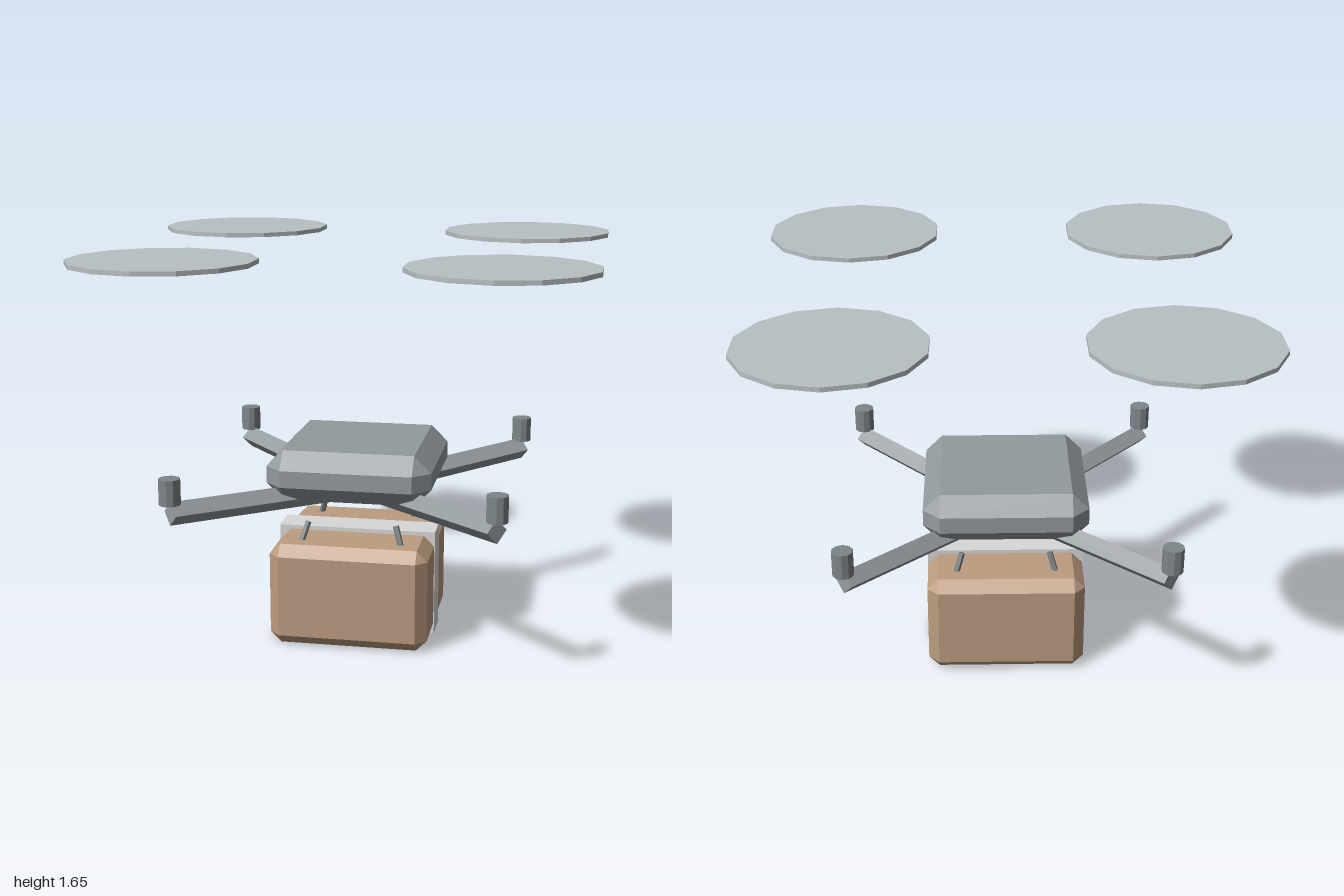
import * as THREE from 'three';
import { ConvexGeometry } from 'three/addons/geometries/ConvexGeometry.js';

const mat = (name, color) => {
  const m = new THREE.MeshStandardMaterial({ color, flatShading: true });
  m.name = name;
  return m;
};

// Box with every edge cut by the same bevel c
function bevelBox(w, h, d, c) {
  const pts = [];
  const [x, y, z] = [w / 2, h / 2, d / 2];
  for (const sx of [-1, 1]) for (const sy of [-1, 1]) for (const sz of [-1, 1]) {
    pts.push(
      new THREE.Vector3(sx * x, sy * (y - c), sz * (z - c)),
      new THREE.Vector3(sx * (x - c), sy * y, sz * (z - c)),
      new THREE.Vector3(sx * (x - c), sy * (y - c), sz * z),
    );
  }
  return new ConvexGeometry(pts);
}

export function createModel() {
  const group = new THREE.Group();
  group.name = 'deliveryDrone';
  const grey = mat('shellGrey', 0x939a9e);
  const darkGrey = mat('motorGrey', 0x7e868a);
  const paleGrey = mat('rotorGrey', 0xb9c0c3);
  const cardboard = mat('cardboard', 0xbd9c80);
  const strapWhite = mat('strapWhite', 0xd8d8d8);

  const add = (name, geometry, material, x = 0, y = 0, z = 0) => {
    const mesh = new THREE.Mesh(geometry, material);
    mesh.name = name;
    mesh.position.set(x, y, z);
    group.add(mesh);
    return mesh;
  };

  // Straight bar between two points
  const bar = (name, a, b, radius, sides, material) => {
    const dir = b.clone().sub(a);
    const mesh = add(name, new THREE.CylinderGeometry(radius, radius, dir.length(), sides), material);
    // Aim the bar's y axis along dir while keeping one corner edge on top
    const yAxis = dir.normalize();
    const xAxis = new THREE.Vector3(0, 1, 0).cross(yAxis).normalize();
    const zAxis = xAxis.clone().cross(yAxis);
    mesh.quaternion.setFromRotationMatrix(new THREE.Matrix4().makeBasis(xAxis, yAxis, zAxis));
    mesh.position.copy(a).add(b).multiplyScalar(0.5);
  };

  // Body and cargo
  add('body', bevelBox(0.68, 0.21, 0.68, 0.07), grey, 0, 0.728, 0);
  add('parcel', bevelBox(0.66, 0.432, 0.646, 0.045), cardboard, 0, 0.219, 0);
  add('strap', new THREE.BoxGeometry(0.666, 0.452, 0.142), strapWhite, 0, 0.226, 0);

  // Four corners: arm, motor, rotor disc and cargo hook
  const reach = 0.637;
  for (const sx of [-1, 1]) for (const sz of [-1, 1]) {
    const side = (sz > 0 ? 'front' : 'back') + (sx > 0 ? 'Left' : 'Right');
    const at = (r, y) => new THREE.Vector3(sx * r, y, sz * r);
    bar(side + 'Arm', at(0, 0.615), at(reach, 0.653), 0.048, 4, grey);
    add(side + 'Motor', new THREE.CylinderGeometry(0.043, 0.043, 0.105, 10), darkGrey, sx * reach, 0.744, sz * reach);
    add(side + 'Rotor', new THREE.CylinderGeometry(0.363, 0.363, 0.018, 14), paleGrey, sx * reach, 1.639, sz * reach);
    bar(side + 'Hook', at(0.215, 0.405), at(0.184, 0.508), 0.013, 6, darkGrey);
  }
  return group;
}
